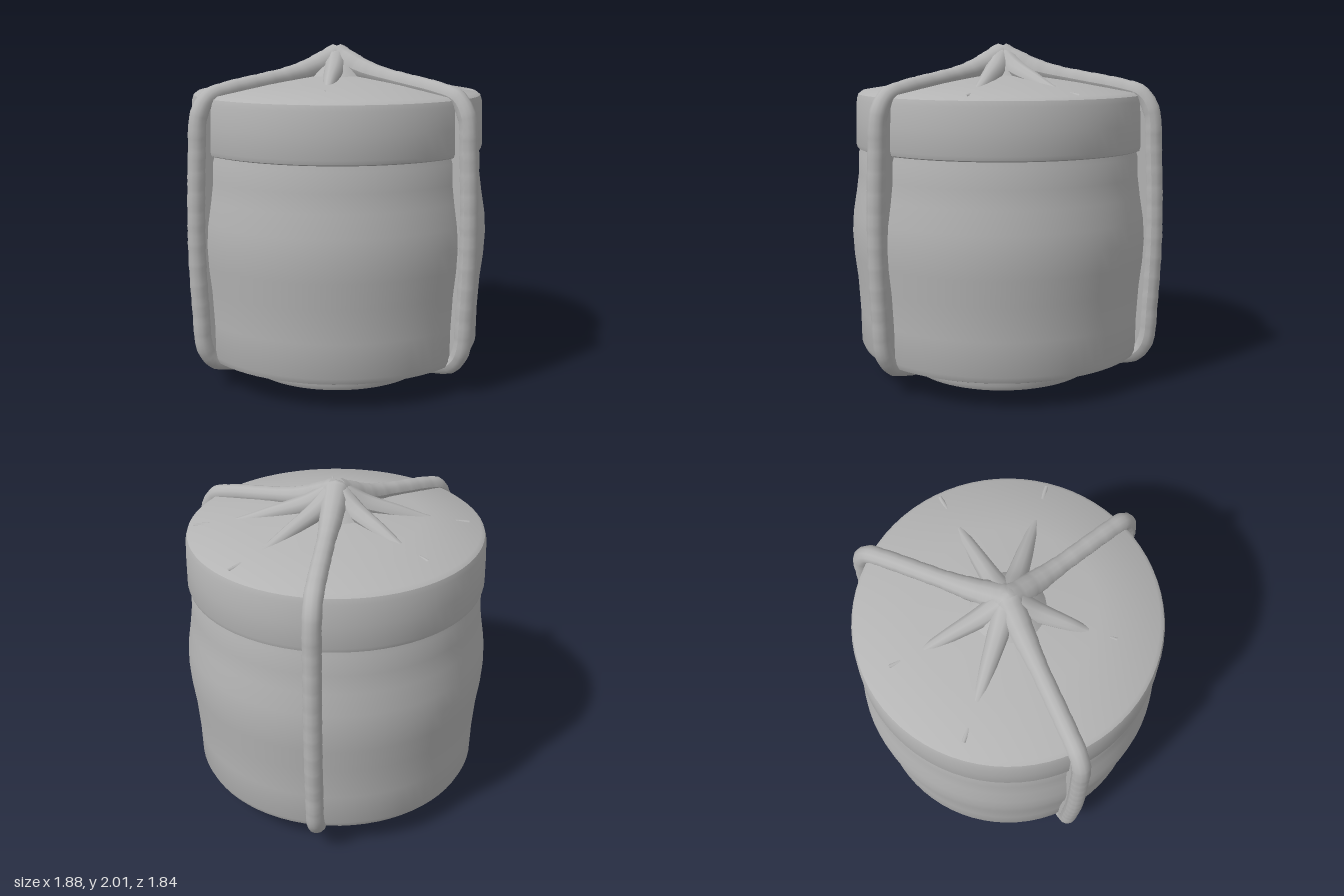
import * as THREE from 'three';
import { toCreasedNormals } from 'three/addons/utils/BufferGeometryUtils.js';

const clay = new THREE.MeshStandardMaterial({ color: 0xb4b4b4 });
clay.name = 'grey clay';

function add(parent, name, geometry) {
  const mesh = new THREE.Mesh(geometry, clay);
  mesh.name = name;
  parent.add(mesh);
  return mesh;
}

// Turned part from [radius, height] points, listed bottom to top
function turned(points, segments = 72) {
  const profile = points.map(([r, y]) => new THREE.Vector2(r, y));
  return toCreasedNormals(new THREE.LatheGeometry(profile, segments), 0.6);
}

// Tube through [radius, height] points whose thickness follows width(t)
function taperedTube(points, width, segments, sides = 12) {
  const curve = new THREE.CatmullRomCurve3(
    points.map(([r, y]) => new THREE.Vector3(r, y, 0)), false, 'centripetal');
  const tube = new THREE.TubeGeometry(curve, segments, 1, sides);
  const pos = tube.attributes.position;
  const v = new THREE.Vector3();
  for (let i = 0; i <= segments; i++) {
    const centre = curve.getPointAt(i / segments);
    for (let j = 0; j <= sides; j++) {
      const k = i * (sides + 1) + j;
      v.fromBufferAttribute(pos, k).sub(centre)
        .multiplyScalar(width(i / segments, i)).add(centre);
      pos.setXYZ(k, v.x, v.y, v.z);
    }
  }
  tube.computeVertexNormals();
  return tube;
}

export function createModel() {
  const group = new THREE.Group();
  const jar = new THREE.Group();
  jar.name = 'strappedJar';
  jar.position.x = 0.02;
  group.add(jar);

  // Round foot below the body
  add(jar, 'foot', turned([
    [0, 0.005], [0.53, 0], [0.56, 0.012], [0.575, 0.04], [0.575, 0.13], [0.56, 0.18],
  ]));

  // Gently bulging body
  add(jar, 'body', turned([
    [0, 0.16], [0.5, 0.16], [0.84, 0.155], [0.865, 0.165], [0.88, 0.2], [0.883, 0.4],
    [0.895, 0.6], [0.913, 0.75], [0.92, 0.88], [0.912, 1.0], [0.89, 1.13],
    [0.875, 1.24], [0.872, 1.36], [0.862, 1.39], [0.862, 1.42],
  ]));

  // Lid with a shallow conical top
  add(jar, 'lid', turned([
    [0.855, 1.385], [0.88, 1.395], [0.887, 1.42], [0.884, 1.55], [0.878, 1.68],
    [0.868, 1.712], [0.845, 1.73], [0.5, 1.785], [0.15, 1.83], [0, 1.84],
  ]));

  // Peaked hub where the straps and ribs meet
  add(jar, 'hub', turned([
    [0.23, 1.8], [0.185, 1.855], [0.14, 1.9], [0.09, 1.945], [0.04, 1.987], [0, 2],
  ], 32));

  // Three straps running from the hub over the side and under the body
  const strapPath = [
    [0, 1.93], [0.12, 1.885], [0.25, 1.845], [0.5, 1.8], [0.75, 1.757], [0.87, 1.72],
    [0.93, 1.63], [0.95, 1.4], [0.965, 0.9], [0.95, 0.5], [0.925, 0.25],
    [0.86, 0.17], [0.74, 0.142], [0.5, 0.13],
  ];
  const strapWidth = (t, i) =>
    (0.053 + 0.03 * Math.max(0, 1 - t * 7)) * (1 + 0.035 * Math.sin(i * 1.9) * Math.sin(i * 0.7));
  const strapGeometry = taperedTube(strapPath, strapWidth, 120);

  // Thin web joining each strap to the side wall
  const webShape = new THREE.Shape();
  webShape.moveTo(0.8, 0.17);
  [[0.88, 0.19], [0.93, 0.28], [0.955, 0.6], [0.965, 0.9], [0.95, 1.4],
    [0.92, 1.66], [0.85, 1.73], [0.8, 1.73]].forEach(([r, y]) => webShape.lineTo(r, y));
  const webGeometry = new THREE.ExtrudeGeometry(webShape, { depth: 0.075, bevelEnabled: false });
  webGeometry.translate(0, 0, -0.0375);

  for (const degrees of [-60.5, 159.5, 53]) {
    const strap = new THREE.Group();
    strap.name = 'strap';
    strap.rotation.y = -THREE.MathUtils.degToRad(degrees);
    add(strap, 'strapCord', strapGeometry);
    add(strap, 'strapWeb', webGeometry);
    jar.add(strap);
  }

  // Short ribs that fade out towards the lid edge: [angle, length]
  for (const [degrees, length] of [[-112, 0.72], [-158, 0.78], [-24, 0.83], [20, 0.83], [110, 0.62]]) {
    const path = [[0.04, 1.91], [0.16, 1.855], [0.35, 1.803], [length * 0.75, 1.835 - length * 0.12],
      [length, 1.842 - length * 0.136]];
    const rib = add(jar, 'lidRib', taperedTube(path, (t) => 0.06 * (1 - t) + 0.012, 32, 10));
    rib.rotation.y = -THREE.MathUtils.degToRad(degrees);
  }

  return group;
}
